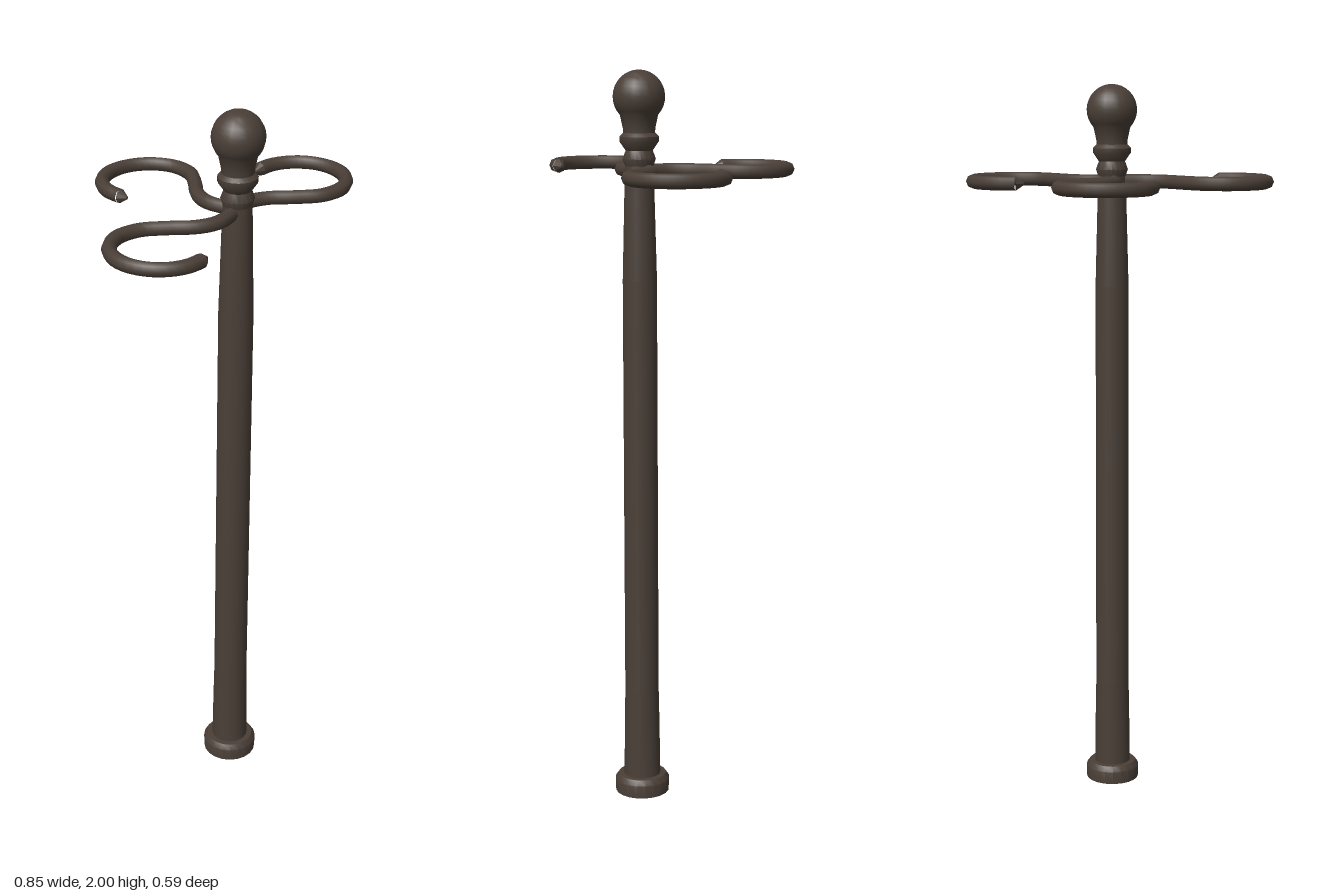
import * as THREE from 'three';
import { toCreasedNormals } from 'three/addons/utils/BufferGeometryUtils.js';

const POST_X = 0.02, POST_Z = 0.137;
const ARM_Y = 1.737, ARM_R = 0.019, HOOK_R = 0.123;

export function createModel() {
  const model = new THREE.Group();
  const iron = new THREE.MeshStandardMaterial({ color: 0x4a3f37 });
  iron.name = 'dark iron';

  const add = (parent, name, geometry) => {
    const mesh = new THREE.Mesh(geometry, iron);
    mesh.name = name;
    parent.add(mesh);
    return mesh;
  };
  // Turned part around the post axis, profile given as [radius, height] from the bottom up
  const turned = (name, profile, sides = 20) => {
    const lathe = new THREE.LatheGeometry(profile.map(([r, y]) => new THREE.Vector2(r, y)), sides);
    const mesh = add(model, name, toCreasedNormals(lathe, 0.7));
    mesh.position.set(POST_X, 0, POST_Z);
  };

  // Foot with a shallow recess underneath
  turned('foot', [[0, 0.012], [0.058, 0.012], [0.062, 0], [0.075, 0], [0.076, 0.036], [0.066, 0.05], [0, 0.052]]);
  // Tapered shaft
  turned('shaft', [[0.051, 0.045], [0.049, 0.2], [0.047, 0.3], [0.046, 1.45], [0.039, 1.72], [0.037, 1.77]]);
  // Two flared rings under the knob
  turned('collar', [[0.037, 1.75], [0.044, 1.77], [0.036, 1.792], [0.052, 1.815], [0.052, 1.828], [0.04, 1.84], [0.034, 1.845]]);
  // Ball finial on a flaring neck
  const ball = [[0.042, 1.835], [0.043, 1.85]];
  for (let i = 0; i <= 12; i++) {
    const a = -0.75 + (i / 12) * (Math.PI / 2 + 0.75);
    ball.push([Math.max(0, 0.069 * Math.cos(a)), 1.931 + 0.069 * Math.sin(a)]);
  }
  turned('knob', ball);

  // Each S-shaped arm: the same hook turned by quarter turns, joined to the post
  const makeArm = (name, x, z, turn) => {
    const arm = new THREE.Group();
    arm.name = name;
    arm.position.set(x, ARM_Y, z);
    arm.rotation.y = turn;
    const post = new THREE.Vector3(POST_X - x, 0, POST_Z - z)
      .applyAxisAngle(new THREE.Vector3(0, 1, 0), -turn);
    const points = [post];
    for (const [px, pz] of [[-0.025, 0.209], [0.002, 0.155], [0.057, 0.107], [0.105, 0.058]]) {
      points.push(new THREE.Vector3(px, 0, pz));
    }
    const steps = 10;
    for (let i = 0; i <= steps; i++) {
      const a = (i / steps) * Math.PI;
      points.push(new THREE.Vector3(HOOK_R * Math.cos(a), 0, -HOOK_R * Math.sin(a)));
    }
    const path = new THREE.CatmullRomCurve3(points);
    add(arm, 'armRod', new THREE.TubeGeometry(path, 40, ARM_R, 8));
    // Blunt point closing the hook end
    const tip = add(arm, 'armTip',
      toCreasedNormals(new THREE.CylinderGeometry(0.004, ARM_R, 0.022, 8), 0.5));
    tip.rotation.x = Math.PI / 2;
    tip.position.set(-HOOK_R, 0, 0.011);
    model.add(arm);
  };
  makeArm('backArm', 0.04, -0.157, 0);
  makeArm('leftArm', 0.281, 0.153, -Math.PI / 2);
  makeArm('rightArm', -0.283, 0.119, Math.PI / 2);

  return model;
}
